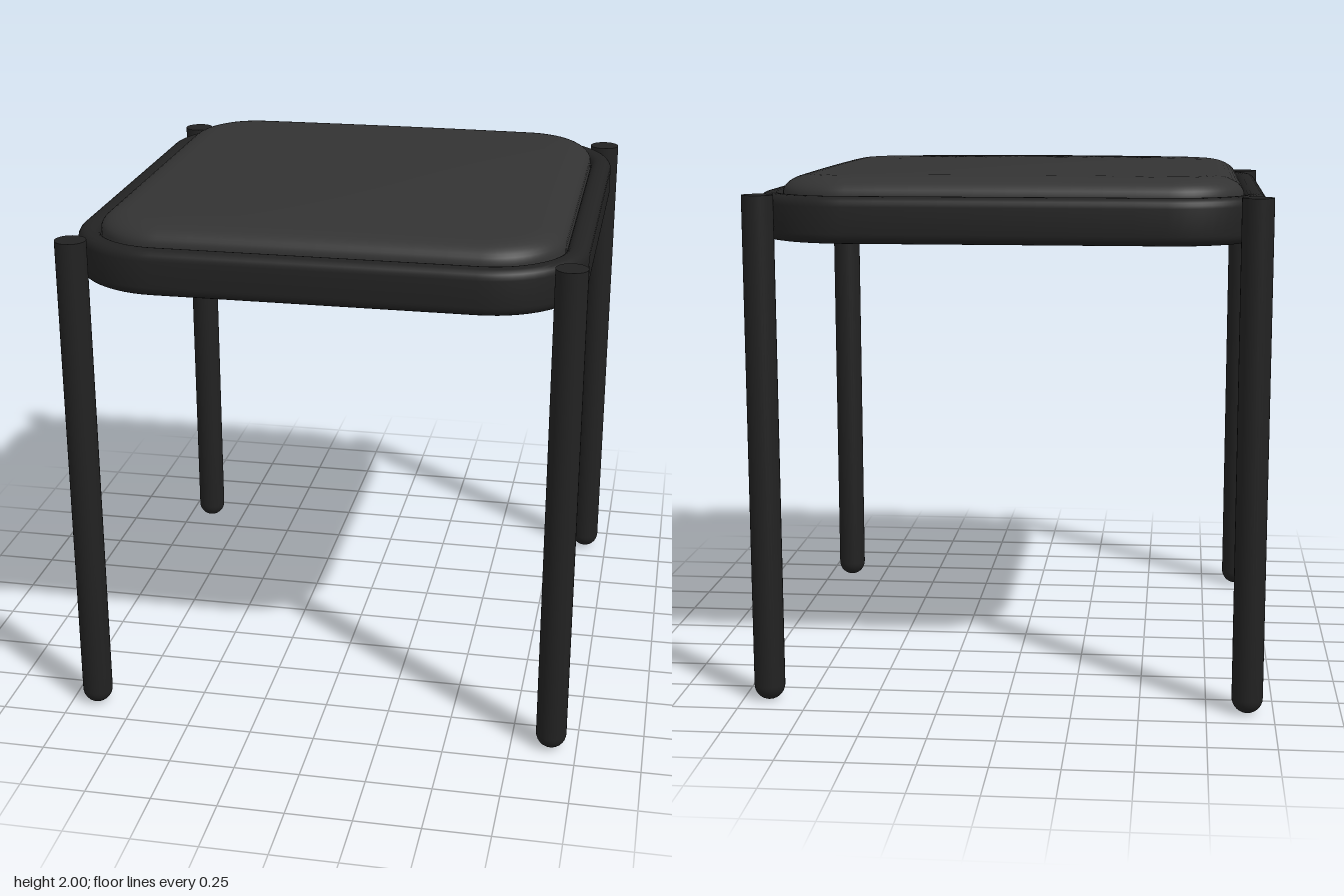
import * as THREE from 'three';
import { toCreasedNormals } from 'three/addons/utils/BufferGeometryUtils.js';

const HALF_X = 0.945, HALF_Z = 0.965, CORNER = 0.36; // seat outline
const ARC = 14, SIDE = 10; // points per corner and per straight side

// Rounded rectangle, moved inwards by inset, as [x, z] pairs
function outline(inset) {
  const cx = HALF_X - CORNER, cz = HALF_Z - CORNER, r = CORNER - inset;
  const signs = [[1, 1], [-1, 1], [-1, -1], [1, -1]];
  const corners = signs.map(([sx, sz], q) => Array.from({ length: ARC + 1 }, (_, i) => {
    const a = (q + i / ARC) * Math.PI / 2;
    return [sx * cx + r * Math.cos(a), sz * cz + r * Math.sin(a)];
  }));
  const points = [];
  corners.forEach((arc, q) => {
    points.push(...arc);
    const from = arc[ARC], to = corners[(q + 1) % 4][0];
    for (let i = 1; i < SIDE; i++) {
      const t = i / SIDE;
      points.push([from[0] + (to[0] - from[0]) * t, from[1] + (to[1] - from[1]) * t]);
    }
  });
  return points;
}

// Skin over a list of rings, each a list of [x, y, z]
function loft(rings, crease) {
  const n = rings[0].length, index = [];
  for (let i = 0; i < rings.length - 1; i++) {
    for (let j = 0; j < n; j++) {
      const a = i * n + j, b = i * n + (j + 1) % n;
      index.push(a, a + n, b, b, a + n, b + n);
    }
  }
  const geometry = new THREE.BufferGeometry();
  geometry.setAttribute('position', new THREE.Float32BufferAttribute(rings.flat(2), 3));
  geometry.setIndex(index);
  return toCreasedNormals(geometry, crease);
}

// Rounded bar that runs round the seat
function frameGeometry() {
  const width = 0.085, low = 1.74, high = 1.91, r = 0.036, steps = 5;
  const centres = [[r, low + r], [r, high - r], [width - r, high - r], [width - r, low + r]];
  const profile = [];
  centres.forEach(([u, y], q) => {
    for (let i = 0; i <= steps; i++) {
      const a = (q + i / steps) * Math.PI / 2;
      profile.push([u - r * Math.sin(a), y - r * Math.cos(a)]);
    }
  });
  profile.push(profile[0]);
  return loft(profile.map(([u, y]) => outline(u).map(([x, z]) => [x, y, z])), 0.6);
}

// Padded cushion: flat underside, rounded edge, shallow dome on top
function cushionGeometry() {
  const edge = 0.085, bottom = 1.78, rings = [];
  const base = outline(edge);
  const dome = (x, z) => 0.028 * Math.max(0, 1 - (x / 0.86) ** 2) * Math.max(0, 1 - (z / 0.88) ** 2);
  rings.push(base.map(() => [0, bottom, 0]));
  rings.push(base.map(([x, z]) => [x, bottom, z]));
  const steps = 9;
  for (let i = 0; i <= steps; i++) {
    const a = i / steps * Math.PI / 2;
    const y = 1.905 + 0.067 * Math.sin(a);
    const ring = outline(edge + 0.12 * (1 - Math.cos(a)));
    rings.push(ring.map(([x, z]) => [x, y + dome(x, z) * Math.sin(a), z]));
  }
  const inner = outline(edge + 0.12);
  for (let i = 11; i >= 0; i--) {
    const s = i / 12;
    rings.push(inner.map(([x, z]) => [x * s, 1.972 + dome(x * s, z * s), z * s]));
  }
  return loft(rings, 0.6);
}

// Round post with a domed foot and a flat top
function legGeometry() {
  const r = 0.058, points = [];
  for (let i = 0; i <= 8; i++) {
    const a = i / 8 * Math.PI / 2;
    points.push(new THREE.Vector2(r * Math.sin(a), r * (1 - Math.cos(a))));
  }
  points.push(new THREE.Vector2(r, 1.91), new THREE.Vector2(0, 1.91));
  return toCreasedNormals(new THREE.LatheGeometry(points, 32), 0.6);
}

export function createModel() {
  const group = new THREE.Group();
  group.name = 'stool';
  const frameMaterial = new THREE.MeshStandardMaterial({ color: 0x222222 });
  const cushionMaterial = new THREE.MeshStandardMaterial({ color: 0x333333 });

  const add = (name, geometry, material) => {
    const mesh = new THREE.Mesh(geometry, material);
    mesh.name = name;
    group.add(mesh);
    return mesh;
  };

  add('seatFrame', frameGeometry(), frameMaterial);
  add('cushion', cushionGeometry(), cushionMaterial);

  // Legs touch the rounded corners from outside
  const leg = legGeometry();
  for (const [sideName, sx] of [['Left', 1], ['Right', -1]]) {
    for (const [endName, sz] of [['front', 1], ['back', -1]]) {
      add(endName + sideName + 'Leg', leg, frameMaterial).position.set(sx * 0.902, 0, sz * 0.876);
    }
  }
  return group;
}
